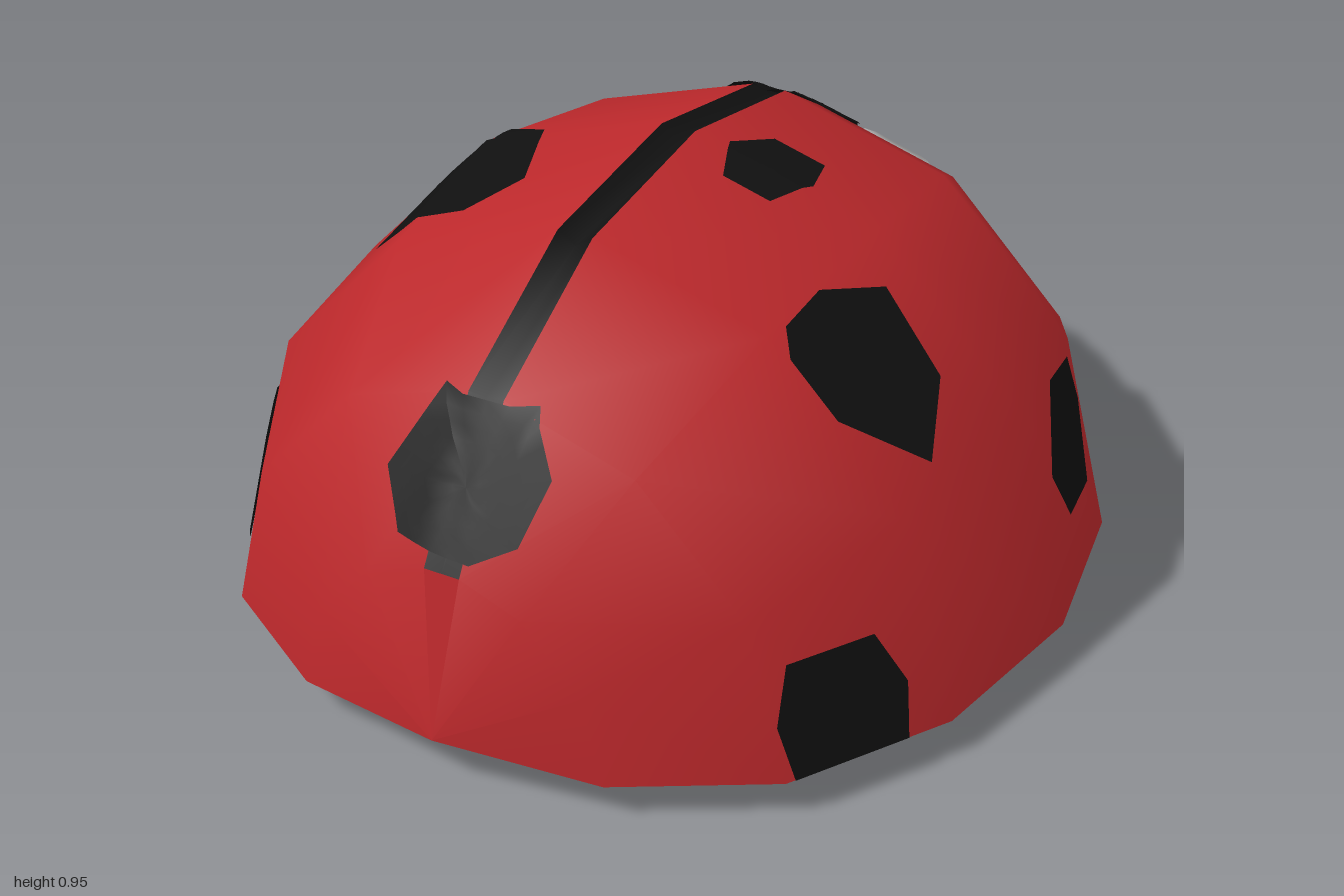
import * as THREE from 'three';

const V = (x, y, z) => new THREE.Vector3(x, y, z);
const material = (name, color) =>
  new THREE.MeshStandardMaterial({ name, color, side: THREE.DoubleSide });

// Skin over a grid of points: rows of equal length
function loft(rows) {
  const n = rows[0].length, index = [];
  for (let i = 0; i < rows.length - 1; i++)
    for (let j = 0; j < n - 1; j++) {
      const a = i * n + j, b = a + 1, c = a + n, d = c + 1;
      index.push(a, c, b, b, c, d);
    }
  const g = new THREE.BufferGeometry().setFromPoints(rows.flat());
  g.setIndex(index);
  g.computeVertexNormals();
  return g;
}

const mirrorRows = rows => rows.map(r => r.map(p => V(-p.x, p.y, p.z)).reverse());

export function createModel() {
  const red = material('shellRed', 0xbb282b);
  const black = material('black', 0x101010);
  const white = material('white', 0xdedede);
  const model = new THREE.Group();
  model.name = 'ladybird';
  const add = (name, geometry, mat) => {
    const mesh = new THREE.Mesh(geometry, mat);
    mesh.name = name;
    model.add(mesh);
    return mesh;
  };

  // Shell cross-sections: z, half width, height, groove depth
  const BASE = 0.077;
  const stations = [
    [1.0, 0, 0.023, 0], [0.94, 0.325, 0.35, 0], [0.775, 0.605, 0.63, 0.004],
    [0.465, 0.79, 0.813, 0.025], [0.08, 0.855, 0.873, 0.028],
    [-0.3, 0.79, 0.813, 0.02], [-0.46, 0.7, 0.72, 0], [-0.51, 0.61, 0.573, 0],
  ];
  const half = stations.map(([z, w, h]) => {
    const y0 = w === 0 ? 0.1 : BASE;
    const arc = [0, 30, 60].map(deg => {
      const a = THREE.MathUtils.degToRad(deg);
      return V(w * Math.cos(a), w === 0 ? y0 : y0 + h * Math.sin(a), z);
    });
    return [...arc, V(Math.min(0.037, w), w === 0 ? y0 : BASE + h, z)];
  });
  const otherHalf = mirrorRows(half);
  const groove = stations.map(([, , , depth], i) => {
    const p = half[i][3];
    return [p, V(0, p.y - depth, p.z), V(-p.x, p.y, p.z)];
  });
  const shell = [
    add('wingCaseRight', loft(half), red),
    add('wingCaseLeft', loft(otherHalf), red),
    add('shellTip', loft(groove.slice(0, 2)), red),
    add('wingGroove', loft(groove.slice(1)), black),
  ];
  add('belly', loft(half.map((r, i) => [otherHalf[i][3], r[0]])), red);
  const rim = [...half[7], ...otherHalf[7]];
  add('shellFrontWall', loft(rim.map(p => [p, V(p.x, BASE, p.z)])), red);

  // Head: base outline, each point rising in a column to the crown
  const side = [
    [0.61, 0.1, -0.49], [0.64, 0.1, -0.52], [0.52, 0.085, -0.7],
    [0.41, 0.06, -0.82], [0.285, 0.03, -0.93], [0.15, 0, -0.965],
  ].map(p => V(...p));
  const outline = [...side, V(0, 0.035, -1), ...side.map(p => V(-p.x, p.y, p.z)).reverse()];
  const rings = [[1, null], [0.89, 0.37], [0.4, 0.6], [0, 0.72]];
  const columns = outline.map(p =>
    rings.map(([r, y]) => V(p.x * r, y ?? p.y, THREE.MathUtils.lerp(-0.58, p.z, r))));
  const collar = col => col.map(p => V(p.x * 0.95, Math.max(0.1, p.y * 0.91), -0.49));
  const head = add('head',
    loft([collar(columns[0]), ...columns, collar(columns[columns.length - 1])]), black);
  add('headUnderside', loft(outline.map(p => [V(0, 0.09, -0.49), p])), black);

  // Thin painted patch: a polygon projected along an axis onto a surface
  const ray = new THREE.Raycaster();
  const axes = {
    top: { dir: V(0, -1, 0), at: (a, b) => V(a, 3, b) },
    front: { dir: V(0, 0, -1), at: (a, b) => V(a, b, 3) },
    back: { dir: V(0, 0, 1), at: (a, b) => V(a, b, -3) },
    right: { dir: V(-1, 0, 0), at: (a, b) => V(3, b, a) },
    left: { dir: V(1, 0, 0), at: (a, b) => V(-3, b, a) },
  };
  function patch(name, axis, points, mat, targets = shell) {
    const { dir, at } = axes[axis];
    const n = points.length;
    const cx = points.reduce((s, p) => s + p[0], 0) / n;
    const cy = points.reduce((s, p) => s + p[1], 0) / n;
    const project = (x, y) => {
      // pull overhanging corners inward until they meet the surface
      for (let k = 1; k > 0; k -= 0.02) {
        ray.set(at(cx + (x - cx) * k, cy + (y - cy) * k), dir);
        const hit = ray.intersectObjects(targets, false)[0];
        if (!hit) continue;
        const normal = hit.face.normal.clone();
        if (normal.dot(dir) > 0) normal.negate();
        return hit.point.addScaledVector(normal, 0.007);
      }
      return at(cx, cy);
    };
    const RINGS = 6, STEPS = 4, rows = [];
    for (let s = 0; s <= n * STEPS; s++) {
      const i = Math.floor(s / STEPS) % n, f = (s % STEPS) / STEPS;
      const p = points[i], q = points[(i + 1) % n];
      const x = p[0] + (q[0] - p[0]) * f, y = p[1] + (q[1] - p[1]) * f;
      const row = [];
      for (let k = 0; k <= RINGS; k++)
        row.push(project(cx + (x - cx) * k / RINGS, cy + (y - cy) * k / RINGS));
      rows.push(row);
    }
    add(name, loft(rows), mat);
  }
  model.updateMatrixWorld(true);

  // Shell spots
  const spots = [
    ['right', [[0.42, 0.78], [0.3, 0.8], [0.16, 0.76], [0.19, 0.62], [0.34, 0.53], [0.46, 0.64], [0.46, 0.74]]],
    ['right', [[-0.11, 0.49], [-0.25, 0.47], [-0.27, 0.37], [-0.23, 0.21], [-0.08, 0.22], [-0.01, 0.34]]],
    ['right', [[0.73, 0.3], [0.57, 0.3], [0.53, 0.19], [0.55, 0.08], [0.76, 0.08], [0.77, 0.19]]],
    ['top', [[0.14, -0.05], [0.25, -0.05], [0.28, 0.06], [0.24, 0.16], [0.14, 0.16], [0.1, 0.06]]],
    ['top', [[-0.45, 0.02], [-0.31, 0.07], [-0.23, 0.27], [-0.3, 0.38], [-0.43, 0.4], [-0.58, 0.29], [-0.55, 0.1]]],
    ['top', [[-0.67, -0.45], [-0.56, -0.46], [-0.54, -0.3], [-0.62, -0.15], [-0.74, -0.1], [-0.75, -0.2]]],
    ['front', [[-0.65, 0.4], [-0.6, 0.38], [-0.605, 0.2], [-0.69, 0.1], [-0.77, 0.2], [-0.73, 0.36]]],
    ['front', [[-0.09, 0.7], [0.1, 0.7], [0.16, 0.6], [0.13, 0.49], [0.05, 0.45], [-0.11, 0.46], [-0.17, 0.55]]],
    ['top', [[-0.1, -0.5], [0.1, -0.5], [0.15, -0.42], [0.14, -0.33], [0.06, -0.3], [-0.08, -0.3], [-0.15, -0.36], [-0.14, -0.44]]],
  ];
  spots.forEach(([axis, points], i) => patch('spot' + (i + 1), axis, points, black));

  // White neck marks and eyes, mirrored
  const neck = [[0.1, 0.68], [0.14, 0.76], [0.2, 0.755], [0.28, 0.73], [0.31, 0.68], [0.26, 0.62], [0.17, 0.64]];
  const eye = [[-0.84, 0.27], [-0.93, 0.26], [-0.95, 0.04], [-0.8, 0.07]];
  for (const [s, label] of [[1, 'Right'], [-1, 'Left']]) {
    patch('neckMark' + label, 'back', neck.map(([x, y]) => [x * s, y]), white);
    patch('eye' + label, s > 0 ? 'right' : 'left', eye, white, [head]);
  }
  return model;
}
